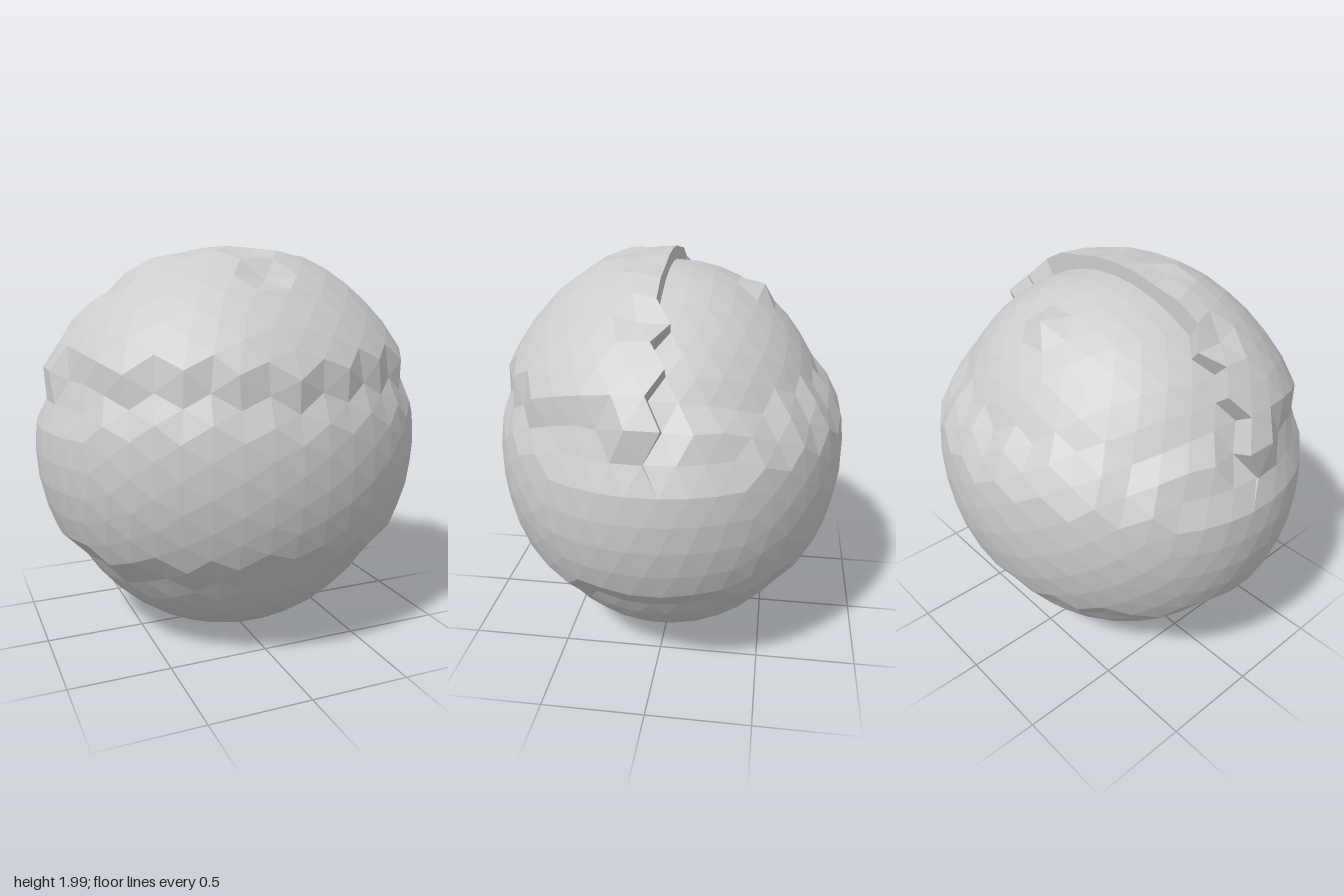
import * as THREE from 'three';

const HALF_DEPTH = 0.88;

// Split every triangle of a unit icosahedron in four, three times over
function sphereFaces(levels) {
  const p = new THREE.IcosahedronGeometry(1, 0).attributes.position;
  let faces = [];
  for (let i = 0; i < p.count; i += 3) {
    faces.push([0, 1, 2].map(k => new THREE.Vector3().fromBufferAttribute(p, i + k)));
  }
  const mid = (a, b) => a.clone().add(b).normalize();
  for (let n = 0; n < levels; n++) {
    faces = faces.flatMap(([a, b, c]) => {
      const ab = mid(a, b), bc = mid(b, c), ca = mid(c, a);
      return [[a, ab, ca], [ab, b, bc], [ca, bc, c], [ab, bc, ca]];
    });
  }
  return faces;
}

// Distance from the centre: raised front cap with a lip, recessed back
function radius(d, front) {
  const ax = Math.abs(d.x), az = Math.abs(d.z);
  if (d.y < 0.25) return 1;
  if (d.y < 0.392) return front ? 0.977 : 0.965; // groove under the lip
  if (ax < 0.03 && Math.abs(az - 0.525) < 0.03) return 0.97; // small pit and bump
  if (!front) return 0.92;
  if (az < 0.1 && ax > 0.5 && d.y > 0.75 && d.y < 0.83) return 0.98; // nick in the cap's rim
  if (d.y > 0.96) return 0.985;
  return 1.03 - 0.02 * Math.min(1, (d.y - 0.392) / 0.3);
}

function place(d, front) {
  const v = d.clone().multiplyScalar(radius(d, front));
  if (d.y < -0.47) { // narrower base
    v.x *= 0.935;
    v.z *= 0.965;
  }
  return [v.x, v.y + 1, v.z * HALF_DEPTH];
}

function flatMesh(positions, name, doubleSided) {
  const g = new THREE.BufferGeometry();
  g.setAttribute('position', new THREE.Float32BufferAttribute(positions, 3));
  g.computeVertexNormals();
  const m = new THREE.MeshStandardMaterial({ color: 0xcccccc, flatShading: true });
  if (doubleSided) m.side = THREE.DoubleSide;
  const mesh = new THREE.Mesh(g, m);
  mesh.name = name;
  return mesh;
}

export function createModel() {
  const group = new THREE.Group();
  group.name = 'crackedBoulder';
  const shell = [], wall = [];
  const frontEdges = new Set();
  const key = v => [v.x, v.y, v.z].map(n => Math.round(n * 1000)).join(',');
  const isFront = f => f[0].z + f[1].z + f[2].z > -0.003;
  const faces = sphereFaces(3);

  // Shell, front and back halves with their own radii
  for (const f of faces) {
    const front = isFront(f);
    f.forEach((v, i) => {
      shell.push(...place(v, front));
      if (front) frontEdges.add(key(v) + '|' + key(f[(i + 1) % 3]));
    });
  }

  // Step along the crack where the front cap meets the back
  for (const f of faces.filter(g => !isFront(g))) {
    f.forEach((a, i) => {
      const b = f[(i + 1) % 3];
      const onCrack = frontEdges.has(key(b) + '|' + key(a));
      if (!onCrack || Math.max(a.y, b.y) < 0.25) return;
      const a0 = place(a, false), b0 = place(b, false);
      const a1 = place(a, true), b1 = place(b, true);
      wall.push(...b0, ...a0, ...a1, ...b0, ...a1, ...b1);
    });
  }

  group.add(flatMesh(shell, 'shell', false), flatMesh(wall, 'crackStep', true));
  return group;
}
